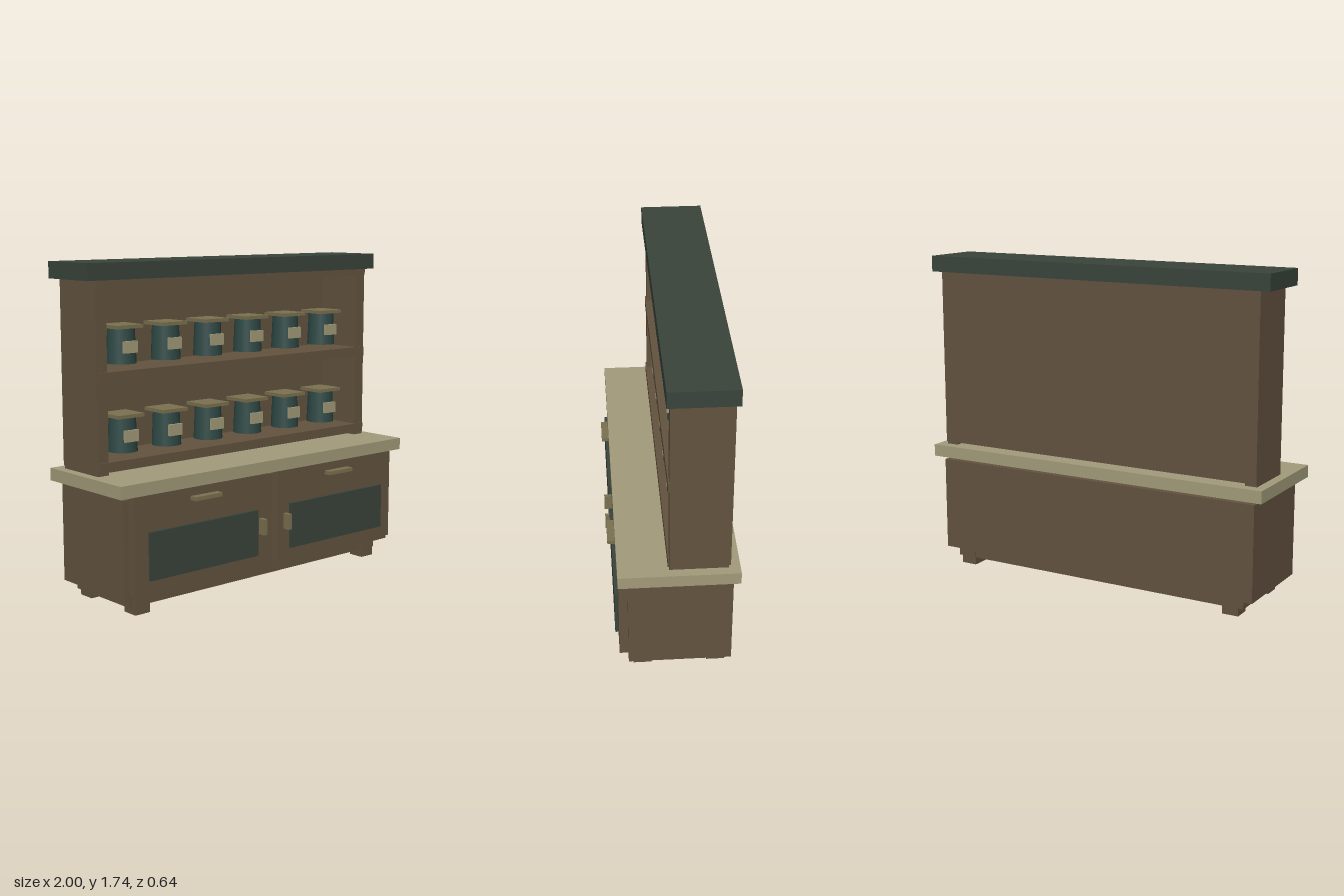
import * as THREE from 'three';

const mat = (color) => new THREE.MeshStandardMaterial({ color });

export function createModel() {
  const wood = mat(0x63533f), green = mat(0x39443b), cream = mat(0xa39b7a);
  const brass = mat(0x7b7150), jarGreen = mat(0x2f4a46);
  const model = new THREE.Group();
  model.name = 'dresser';

  // Box given by its extents on each axis
  const box = (name, material, [x0, x1], [y0, y1], [z0, z1], parent = model) => {
    const mesh = new THREE.Mesh(new THREE.BoxGeometry(x1 - x0, y1 - y0, z1 - z0), material);
    mesh.position.set((x0 + x1) / 2, (y0 + y1) / 2, (z0 + z1) / 2);
    mesh.name = name;
    parent.add(mesh);
    return mesh;
  };
  // Same box on the left (+x) and right (-x)
  const pair = (name, material, [x0, x1], y, z) => {
    box(name + 'Left', material, [x0, x1], y, z);
    box(name + 'Right', material, [-x1, -x0], y, z);
  };

  // Base cabinet on a plinth with four feet
  pair('frontFoot', wood, [0.77, 0.86], [0, 0.09], [0.115, 0.208]);
  pair('backFoot', wood, [0.77, 0.86], [0, 0.09], [-0.265, -0.172]);
  box('plinth', wood, [-0.885, 0.885], [0.04, 0.09], [-0.26, 0.19]);
  box('cabinet', wood, [-0.945, 0.945], [0.09, 0.6], [-0.29, 0.235]);
  box('counter', cream, [-0.995, 0.995], [0.62, 0.685], [-0.32, 0.285]);

  // Doors with inset panels and pulls
  pair('door', wood, [0.033, 0.913], [0.122, 0.62], [0.235, 0.28]);
  pair('doorPanel', green, [0.118, 0.828], [0.19, 0.435], [0.28, 0.298]);
  pair('drawerPull', brass, [0.387, 0.563], [0.555, 0.575], [0.28, 0.322]);
  pair('doorPull', brass, [0.077, 0.1], [0.3, 0.385], [0.28, 0.322]);

  // Open upper shelving
  pair('hutchSide', wood, [0.88, 0.945], [0.685, 1.65], [-0.262, 0.03]);
  box('hutchBack', wood, [-0.945, 0.945], [0.7, 1.65], [-0.272, -0.24]);
  for (const y of [[0.7, 0.75], [1.147, 1.2], [1.613, 1.65]]) {
    box('shelf', wood, [-0.942, 0.942], y, [-0.25, 0.037]);
  }
  box('cornice', green, [-1, 1], [1.65, 1.735], [-0.287, 0.05]);

  // Two rows of labelled jars
  const bodyGeometry = new THREE.CylinderGeometry(0.07, 0.078, 0.18, 16);
  for (const y of [0.775, 1.225]) {
    for (let i = 0; i < 6; i++) {
      const jar = new THREE.Group();
      jar.name = 'jar';
      jar.position.set(-0.717 + i * 0.2835, y, -0.075);
      const body = new THREE.Mesh(bodyGeometry, jarGreen);
      body.name = 'jarBody';
      body.position.y = 0.09;
      jar.add(body);
      box('jarLid', brass, [-0.081, 0.081], [0.178, 0.196], [-0.081, 0.081], jar);
      box('jarLabel', cream, [-0.042, 0.042], [0.056, 0.116], [0.068, 0.084], jar);
      model.add(jar);
    }
  }
  return model;
}
